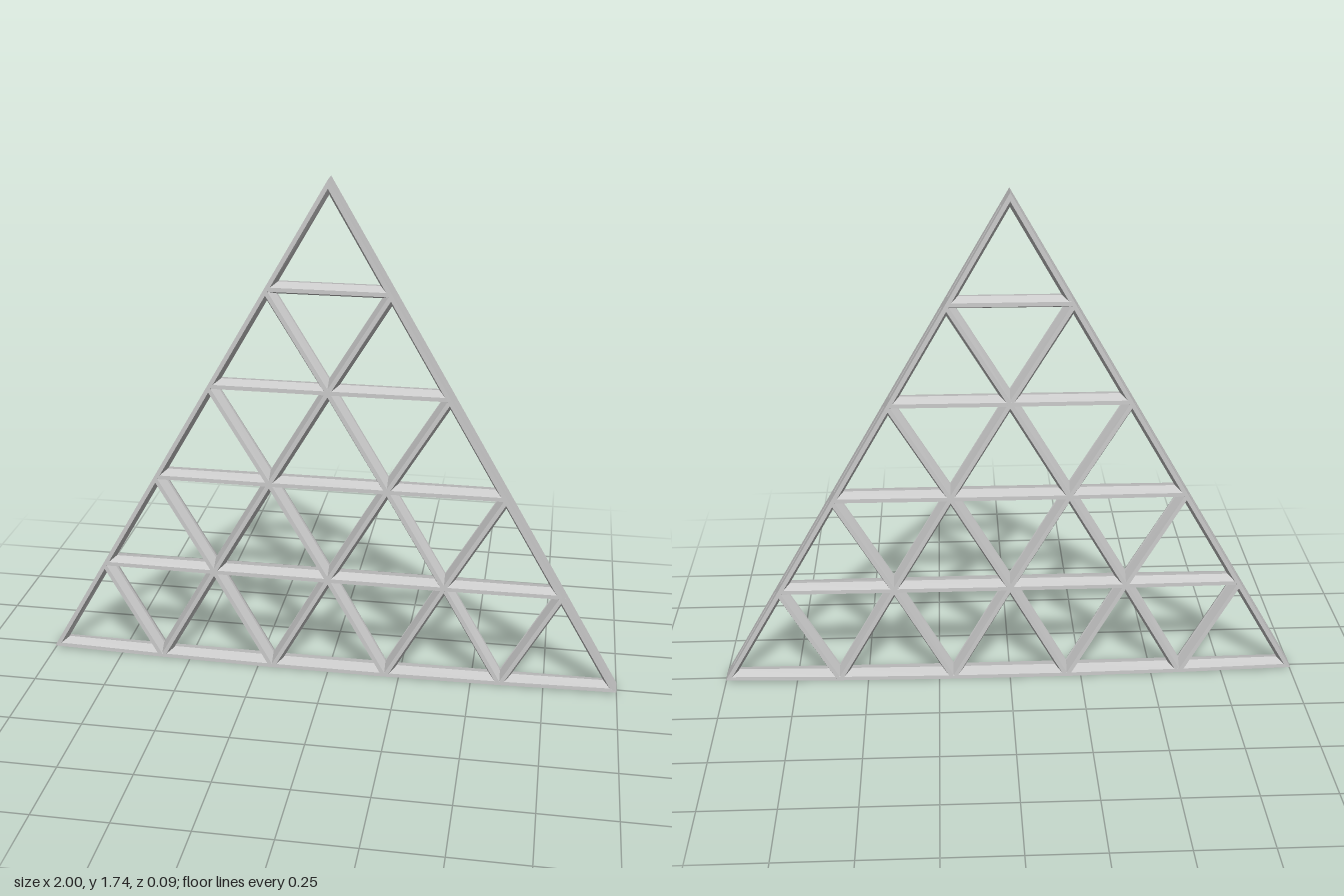
import * as THREE from 'three';
import { mergeGeometries } from 'three/addons/utils/BufferGeometryUtils.js';

const ROW_Y = [0.01, 0.36, 0.705, 1.043, 1.383, 1.742];
const N = 5;
const SLOT = 0.006;              // half height of the slot running along a strut
const MITER = Math.sqrt(3);      // cut of the 60 degree corners

// Grid node: row from the base up, column from -x to +x
function node(row, col) {
  const count = N - row;
  const half = (1.742 - ROW_Y[row]) / 1.732;
  const x = count ? half * (2 * col / count - 1) : 0;
  const y = row === 0 ? 0.01 * x * x : ROW_Y[row];
  return new THREE.Vector2(x, y);
}

// Half depth: the panel swells gently towards its middle
function depthAt(p) {
  const r2 = p.x * p.x + (p.y - 0.587) ** 2;
  return 0.033 + 0.011 * (1 - r2 / 1.34);
}

// Solid between two matching counter-clockwise loops
function prism(a, b) {
  const pos = [];
  const tri = (...pts) => pts.forEach((p) => pos.push(p.x, p.y, p.z));
  const n = a.length;
  for (let i = 0; i < n; i++) {
    const j = (i + 1) % n;
    tri(a[i], a[j], b[j]);
    tri(a[i], b[j], b[i]);
  }
  for (let i = 1; i < n - 1; i++) {
    tri(b[0], b[i], b[i + 1]);
    tri(a[0], a[i + 1], a[i]);
  }
  const g = new THREE.BufferGeometry();
  g.setAttribute('position', new THREE.Float32BufferAttribute(pos, 3));
  g.computeVertexNormals();
  return g;
}

// Strut of front and back rods with a slot between them, closed at the ends.
// wide: [low, high] at the middle plane, narrow: the same at the faces
function strutGeometry(A, B, { wide, narrow, trimA = 0, trimB = 0, miterA = 0, miterB = 0, slotted = true }) {
  const dir = B.clone().sub(A);
  const len = dir.length();
  dir.divideScalar(len);
  const place = (section, t, miter) => section.map(([u, z]) => {
    const s = t + miter * u;
    return new THREE.Vector3(A.x + dir.x * s - dir.y * u, A.y + dir.y * s + dir.x * u, z);
  });
  const z0 = slotted ? SLOT : 0;
  const rod = (h, side) => {
    const s = [[wide[0], z0], [wide[1], z0], [narrow[1], h], [narrow[0], h]]
      .map(([u, z]) => [u, z * side]);
    return side > 0 ? s : s.reverse();
  };
  const t0 = trimA, t1 = len - trimB;
  const parts = [1, -1].map((side) => prism(
    place(rod(depthAt(A), side), t0, miterA),
    place(rod(depthAt(B), side), t1, -miterB)));
  if (slotted) {
    const web = [[wide[0], -z0], [wide[1], -z0], [wide[1], z0], [wide[0], z0]];
    const la = miterA ? 0.055 : 0.02, lb = miterB ? 0.055 : 0.02;
    parts.push(prism(place(web, t0, miterA), place(web, t0 + la, 0)));
    parts.push(prism(place(web, t1 - lb, 0), place(web, t1, -miterB)));
  }
  return mergeGeometries(parts);
}

export function createModel() {
  const root = new THREE.Group();
  root.name = 'triangularTruss';
  const material = new THREE.MeshStandardMaterial({ color: 0xcccccc, flatShading: true });
  const groups = {};
  const add = (groupName, name, geometry) => {
    if (!groups[groupName]) {
      groups[groupName] = new THREE.Group();
      groups[groupName].name = groupName;
      root.add(groups[groupName]);
    }
    const mesh = new THREE.Mesh(geometry, material);
    mesh.name = name;
    groups[groupName].add(mesh);
  };

  // Outer frame, walked counter-clockwise so the inside is always on the left
  const sides = [
    ['baseRail', (i) => node(0, i)],
    ['leftRail', (i) => node(i, N - i)],
    ['rightRail', (i) => node(N - i, 0)],
  ];
  for (const [name, at] of sides) {
    for (let i = 0; i < N; i++) {
      add('outerFrame', name, strutGeometry(at(i), at(i + 1), {
        wide: [0, 0.026], narrow: [0, 0.014],
        miterA: i === 0 ? MITER : 0,
        miterB: i === N - 1 ? MITER : 0,
        slotted: name !== 'baseRail',
      }));
    }
  }

  // Inner struts: ridged on both faces, cut short where they meet the frame
  const onFrame = (r, c) => r === 0 || c === 0 || c === N - r;
  const inner = (name, r0, c0, r1, c1) => add('innerGrid', name,
    strutGeometry(node(r0, c0), node(r1, c1), {
      wide: [-0.02, 0.02], narrow: [-0.007, 0.007],
      trimA: onFrame(r0, c0) ? 0.014 : 0,
      trimB: onFrame(r1, c1) ? 0.014 : 0,
    }));
  for (let r = 0; r < N; r++) {
    for (let c = 0; c < N - r; c++) {
      if (r > 0) inner('crossStrut', r, c, r, c + 1);
      if (c > 0) inner('risingStrut', r, c, r + 1, c);
      if (c < N - r - 1) inner('fallingStrut', r, c + 1, r + 1, c);
    }
  }
  return root;
}
